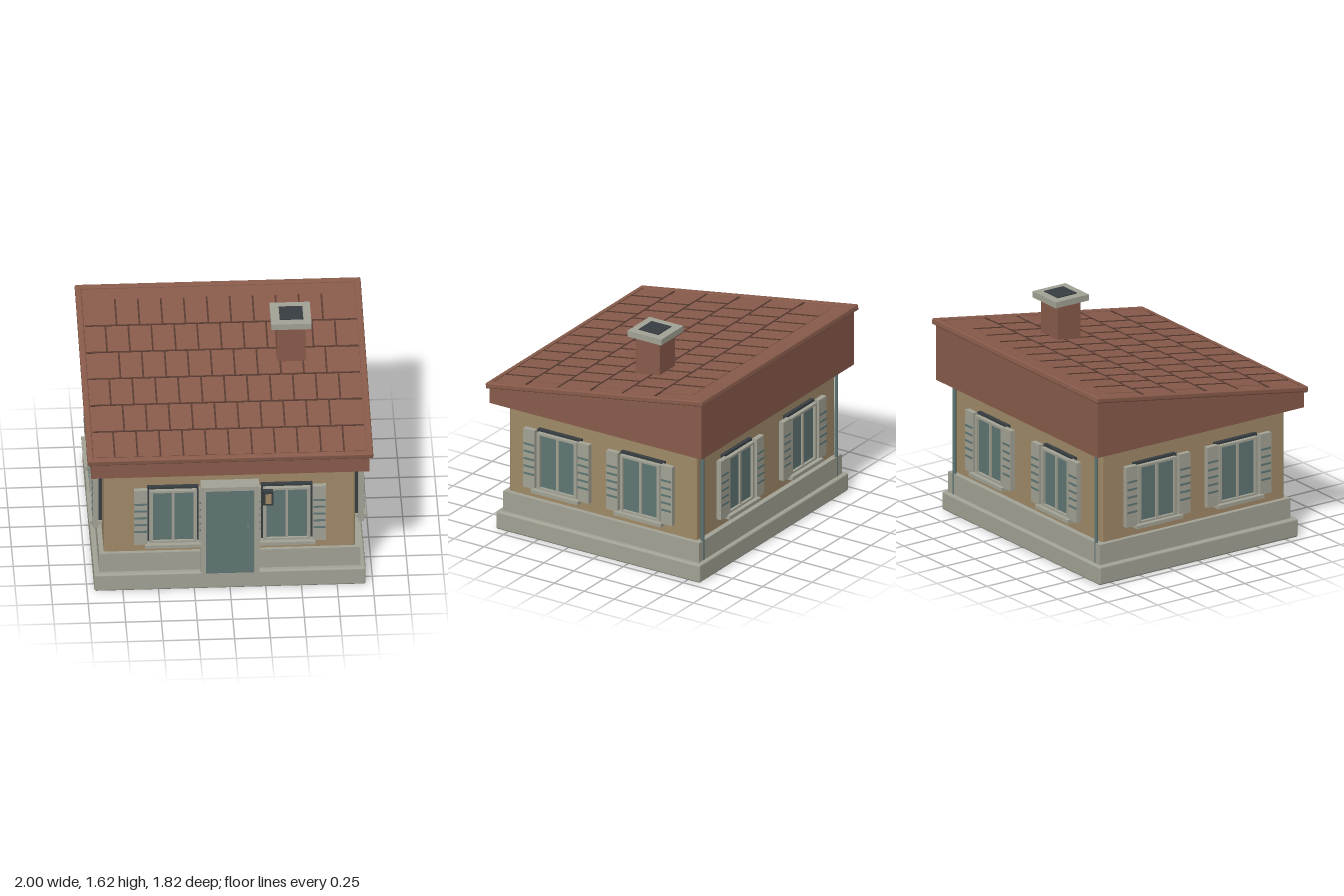
import * as THREE from 'three';
import { RoundedBoxGeometry } from 'three/addons/geometries/RoundedBoxGeometry.js';

const mat = (name, color) => {
  const m = new THREE.MeshStandardMaterial({ color });
  m.name = name;
  return m;
};

export function createModel() {
  const roofRed = mat('roofRed', 0x885b4b);
  const seamBrown = mat('seamBrown', 0x573a30);
  const plaster = mat('plaster', 0xa08a68);
  const stone = mat('stone', 0xa2a295);
  const teal = mat('teal', 0x5f7674);
  const dark = mat('dark', 0x363d40);

  const house = new THREE.Group();
  house.name = 'house';

  const add = (parent, name, geometry, material) => {
    const mesh = new THREE.Mesh(geometry, material);
    mesh.name = name;
    parent.add(mesh);
    return mesh;
  };
  // Box given by its limits on each axis; r rounds the edges
  const box = (parent, name, material, x0, x1, y0, y1, z0, z1, r = 0) => {
    const s = [x1 - x0, y1 - y0, z1 - z0];
    const g = r ? new RoundedBoxGeometry(...s, 2, r) : new THREE.BoxGeometry(...s);
    g.translate((x0 + x1) / 2, (y0 + y1) / 2, (z0 + z1) / 2);
    return add(parent, name, g, material);
  };
  const group = (parent, name) => {
    const g = new THREE.Group();
    g.name = name;
    parent.add(g);
    return g;
  };

  // Foundation, plinth and walls
  box(house, 'foundation', stone, -0.95, 0.95, 0, 0.137, -0.855, 0.85, 0.014);
  box(house, 'plinth', stone, -0.914, 0.914, 0.13, 0.287, -0.825, 0.81);
  box(house, 'walls', plaster, -0.88, 0.88, 0.2, 0.967, -0.785, 0.782, 0.016);

  // Wedge-shaped roof body, profile drawn along the side
  const profile = new THREE.Shape([
    [-0.885, 0.965], [0.887, 0.965], [0.887, 1.39], [-0.885, 1.1],
  ].map(([s, y]) => new THREE.Vector2(s, y)));
  const bodyGeo = new THREE.ExtrudeGeometry(profile, { depth: 1.946, bevelEnabled: false });
  bodyGeo.translate(0, 0, -0.973).rotateY(Math.PI / 2);
  add(house, 'roofBody', bodyGeo, roofRed);

  // Sloping roof cover with rim and tile courses
  const slope = Math.atan(0.166), k = 1 / Math.cos(slope);
  const roof = group(house, 'roofCover');
  roof.position.y = 1.262;
  roof.rotation.x = slope;
  const zf = 0.905 * k, zb = -0.905 * k;
  box(roof, 'roofSlab', roofRed, -0.975, 0.975, -0.03, 0, zb + 0.02, zf - 0.02);
  for (const s of [-1, 1]) {
    const x = s * 0.978;
    box(roof, 'sideRim', roofRed, x - 0.022, x + 0.022, -0.03, 0.01, zb, zf, 0.01);
    const z = s > 0 ? zf - 0.022 : zb + 0.022;
    box(roof, 'endRim', roofRed, -1, 1, -0.033, 0.01, z - 0.022, z + 0.022, 0.01);
  }
  for (let row = 0; row < 6; row++) {
    const z0 = (-0.745 + row * 0.27) * k, z1 = z0 + 0.27 * k;
    const wide = row % 2 === 1, half = wide ? 0.95 : 0.877;
    box(roof, 'tileCourse', roofRed, -half, half, -0.01, 0.004, z0, z1 - 0.006);
    box(roof, 'courseSeam', seamBrown, -0.95, 0.95, -0.01, 0.008, z1 - 0.012, z1);
    const first = wide ? -0.807 : -0.727, count = wide ? 11 : 10;
    for (let i = 0; i < count; i++) {
      const x = first + i * 0.1605;
      box(roof, 'tileSeam', seamBrown, x - 0.006, x + 0.006, -0.01, 0.008, z0, z1 - 0.01);
    }
  }

  // Chimney
  box(house, 'chimney', roofRed, 0.375, 0.575, 1.2, 1.57, -0.275, -0.07, 0.006);
  box(house, 'chimneyCap', stone, 0.333, 0.615, 1.565, 1.61, -0.315, -0.032);
  box(house, 'chimneyOpening', dark, 0.395, 0.56, 1.6, 1.616, -0.255, -0.09);

  // Shuttered window, built facing +z with the wall at z = 0
  const addWindow = (x, z, turn) => {
    const w = group(house, 'window');
    w.position.set(x, 0, z);
    w.rotation.y = turn;
    box(w, 'windowSurround', dark, -0.18, 0.18, 0.375, 0.832, -0.01, 0.03);
    box(w, 'glass', teal, -0.15, 0.15, 0.39, 0.81, 0.02, 0.04);
    box(w, 'frameTop', stone, -0.166, 0.166, 0.8, 0.816, 0.02, 0.06);
    box(w, 'frameBottom', stone, -0.166, 0.166, 0.382, 0.4, 0.02, 0.06);
    box(w, 'mullion', stone, -0.009, 0.009, 0.4, 0.8, 0.02, 0.052);
    box(w, 'sill', stone, -0.197, 0.197, 0.36, 0.386, 0, 0.092);
    for (const s of [-1, 1]) {
      const f = s * 0.154, h = s * 0.227;
      box(w, 'frameSide', stone, f - 0.012, f + 0.012, 0.386, 0.816, 0.02, 0.06);
      box(w, 'shutter', stone, h - 0.047, h + 0.047, 0.38, 0.828, 0.03, 0.068);
      for (let i = 0; i < 5; i++) {
        const y = 0.49 + i * 0.0565;
        box(w, 'shutterSlat', teal, h - 0.042, h + 0.042, y - 0.007, y + 0.007, 0.06, 0.073);
      }
    }
  };
  for (const s of [-1, 1]) {
    addWindow(s * 0.398, 0.782, 0);
    addWindow(s * 0.398, -0.785, Math.PI);
    for (const z of [-0.347, 0.347]) addWindow(s * 0.88, z, s * Math.PI / 2);
  }

  // Front door with frame and handle
  box(house, 'door', teal, -0.17, 0.167, 0.137, 0.832, 0.77, 0.868);
  for (const s of [-1, 1]) {
    const x = s * 0.187;
    box(house, 'doorJamb', stone, x - 0.018, x + 0.018, 0.137, 0.84, 0.838, 0.885);
  }
  box(house, 'doorLintel', stone, -0.205, 0.205, 0.83, 0.862, 0.78, 0.885);
  box(house, 'doorHandle', teal, 0.117, 0.132, 0.45, 0.54, 0.86, 0.905);

  // Wall lamp beside the door
  box(house, 'lampBracket', dark, 0.25, 0.285, 0.75, 0.79, 0.78, 0.87);
  box(house, 'lampCase', dark, 0.23, 0.3, 0.712, 0.825, 0.862, 0.9);
  box(house, 'lampPanel', plaster, 0.244, 0.288, 0.73, 0.806, 0.898, 0.907);

  // Gutter and downpipes at the back
  for (const s of [-1, 1]) {
    const pipe = add(house, 'downpipe', new THREE.CylinderGeometry(0.013, 0.013, 0.83, 12), teal);
    pipe.position.set(s * 0.853, 0.55, -0.815);
  }
  const gutter = add(house, 'gutter', new THREE.CylinderGeometry(0.013, 0.013, 1.73, 12), teal);
  gutter.rotation.z = Math.PI / 2;
  gutter.position.set(0, 0.952, -0.815);

  return house;
}
